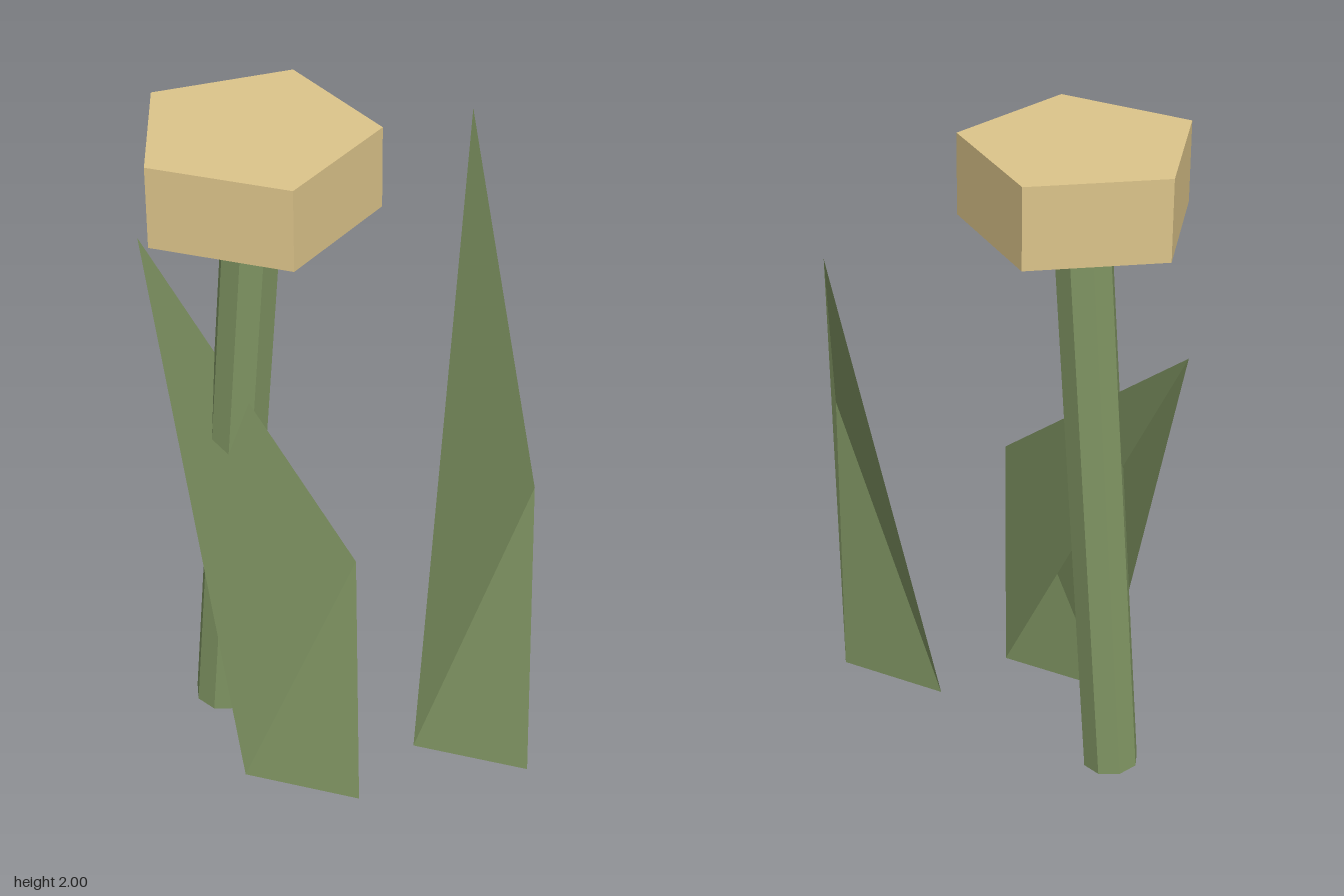
import * as THREE from 'three';

const tan = new THREE.MeshStandardMaterial({ color: 0xdcc48a, flatShading: true });
tan.name = 'tan';
const green = new THREE.MeshStandardMaterial({ color: 0x7f9462, flatShading: true, side: THREE.DoubleSide });
green.name = 'leafGreen';

// Folded leaf blade, open underneath: base left, base right, shoulder and tip
function makeLeaf(name, left, right, shoulder, tip) {
  const corners = [
    left, right, shoulder, // lower front
    left, shoulder, tip,   // upper front
    right, tip, shoulder,  // folded side
  ];
  const geometry = new THREE.BufferGeometry();
  geometry.setAttribute('position', new THREE.Float32BufferAttribute(corners.flat(), 3));
  geometry.computeVertexNormals();
  const mesh = new THREE.Mesh(geometry, green);
  mesh.name = name;
  return mesh;
}

export function createModel() {
  const group = new THREE.Group();
  group.name = 'flower';

  // Five-sided flower head
  const head = new THREE.Mesh(new THREE.CylinderGeometry(0.34, 0.34, 0.24, 5), tan);
  head.name = 'flowerHead';
  head.position.set(-0.22, 1.88, 0.14);
  head.rotation.y = Math.PI;
  group.add(head);

  // Leaning eight-sided stem, running from the ground into the head
  const bottom = new THREE.Vector3(-0.36, 0.01, 0.14);
  const top = new THREE.Vector3(-0.224, 1.81, 0.14);
  const axis = top.clone().sub(bottom);
  const stem = new THREE.Mesh(new THREE.CylinderGeometry(0.084, 0.084, axis.length(), 8), green);
  stem.name = 'stem';
  stem.position.copy(bottom).add(top).multiplyScalar(0.5);
  stem.rotation.z = -Math.atan2(axis.x, axis.y);
  group.add(stem);

  // Two leaves
  group.add(
    makeLeaf('tallLeaf', [0.265, 0.01, 0.205], [0.615, 0.01, 0.205], [0.58, 1.0, 0.14], [0.22, 1.81, -0.47]),
    makeLeaf('shortLeaf', [-0.175, 0.01, 0.47], [0.175, 0.01, 0.47], [0.143, 0.835, 0.4], [-0.62, 1.51, 0])
  );
  return group;
}
